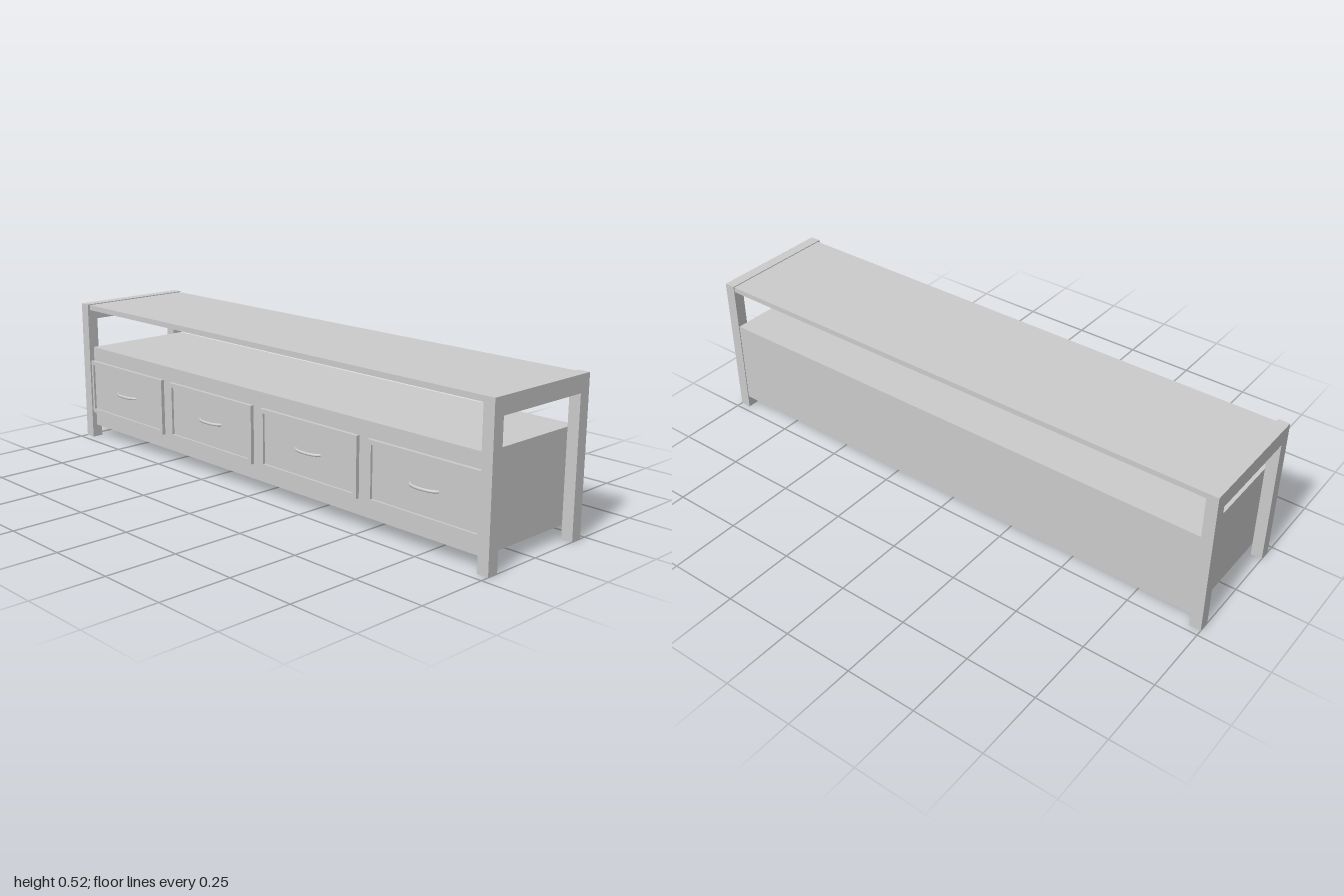
import * as THREE from 'three';

const material = new THREE.MeshStandardMaterial({ color: 0xcccccc });

function add(parent, name, geometry, x = 0, y = 0, z = 0) {
  const mesh = new THREE.Mesh(geometry, material);
  mesh.name = name;
  mesh.position.set(x, y, z);
  parent.add(mesh);
  return mesh;
}

// Box given by its minimum and maximum corners
function block(parent, name, [x0, y0, z0], [x1, y1, z1]) {
  return add(parent, name, new THREE.BoxGeometry(x1 - x0, y1 - y0, z1 - z0),
    (x0 + x1) / 2, (y0 + y1) / 2, (z0 + z1) / 2);
}

const polygon = (Type, points) => new Type(points.map(([x, y]) => new THREE.Vector2(x, y)));
const rectangle = (Type, w, h) =>
  polygon(Type, [[-w / 2, -h / 2], [w / 2, -h / 2], [w / 2, h / 2], [-w / 2, h / 2]]);

// Two legs and a top rail as one arch, extruded across the side's thickness
function sideFrameGeometry() {
  const arch = polygon(THREE.Shape, [
    [-0.22, 0], [-0.179, 0], [-0.179, 0.467], [0.186, 0.467],
    [0.186, 0], [0.227, 0], [0.227, 0.525], [-0.22, 0.525],
  ]);
  const geometry = new THREE.ExtrudeGeometry(arch, { depth: 0.04, bevelEnabled: false });
  geometry.translate(0, 0, -0.02);
  return geometry.rotateY(Math.PI / 2);
}

// Raised border, sunken panel and bowed pull
function createDrawer() {
  const drawer = new THREE.Group();
  drawer.name = 'drawer';
  const border = rectangle(THREE.Shape, 0.448, 0.205);
  border.holes.push(rectangle(THREE.Path, 0.418, 0.175));
  add(drawer, 'drawerBorder',
    new THREE.ExtrudeGeometry(border, { depth: 0.013, bevelEnabled: false }), 0, 0, 0);
  add(drawer, 'drawerPanel', new THREE.BoxGeometry(0.42, 0.177, 0.008), 0, 0, 0.001);

  const bow = new THREE.CatmullRomCurve3([
    [-0.057, 0.003], [-0.045, 0.013], [-0.025, 0.02], [0, 0.022],
    [0.025, 0.02], [0.045, 0.013], [0.057, 0.003],
  ].map(([x, z]) => new THREE.Vector3(x, 0, z)));
  add(drawer, 'drawerHandle', new THREE.TubeGeometry(bow, 24, 0.005, 10));
  return drawer;
}

export function createModel() {
  const bench = new THREE.Group();
  bench.name = 'storageBench';

  // Side frames
  const frame = sideFrameGeometry();
  add(bench, 'leftSideFrame', frame, 0.98);
  add(bench, 'rightSideFrame', frame, -0.98);

  // Top board and cabinet
  block(bench, 'topBoard', [-0.96, 0.503, -0.224], [0.96, 0.522, 0.211]);
  block(bench, 'cabinet', [-0.96, 0.046, -0.224], [0.96, 0.357, 0.201]);

  // Row of four drawers
  for (let i = 0; i < 4; i++) {
    const drawer = createDrawer();
    drawer.position.set((i - 1.5) * 0.494, 0.202, 0.201);
    bench.add(drawer);
  }
  return bench;
}
